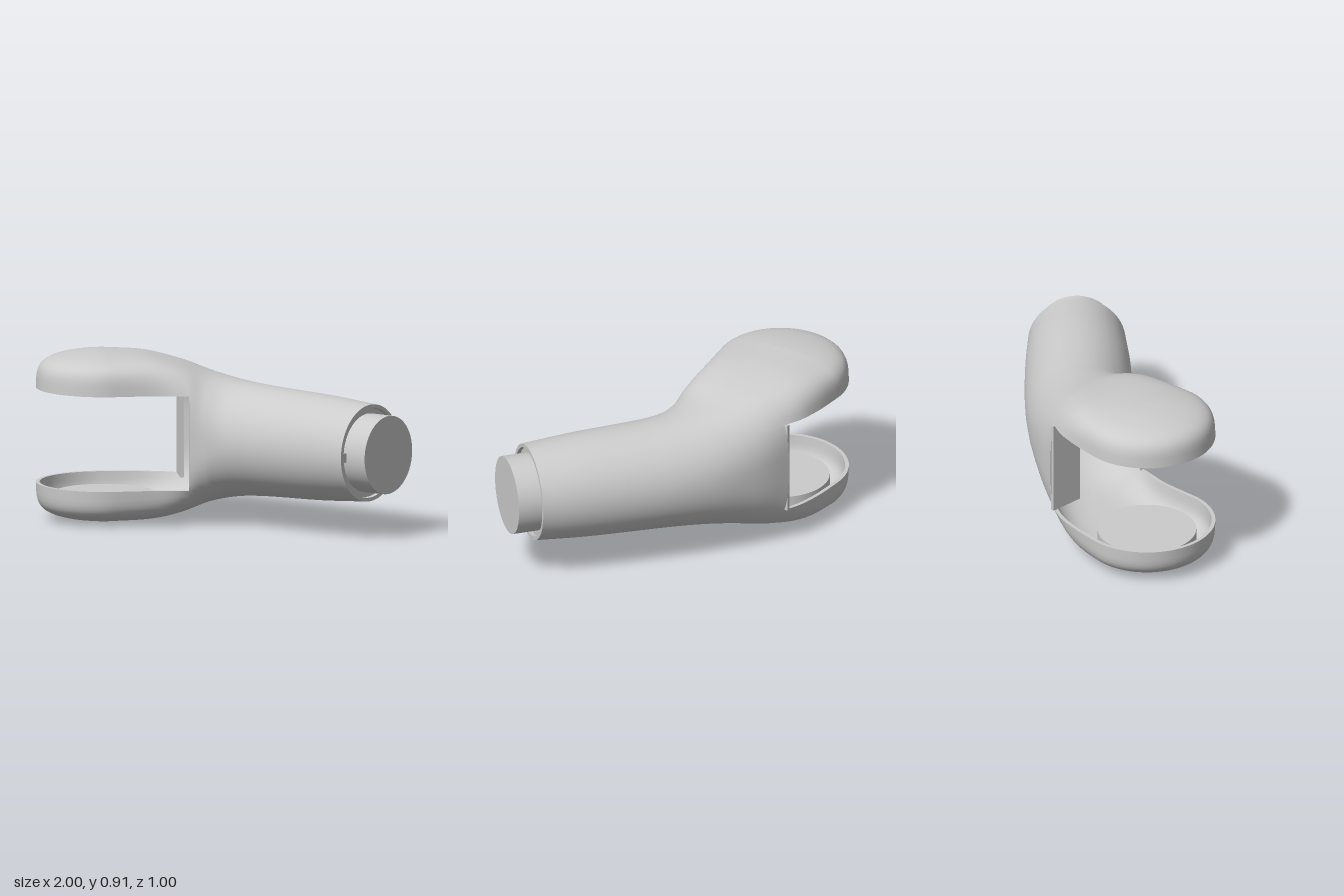
import * as THREE from 'three';
import { mergeVertices } from 'three/addons/utils/BufferGeometryUtils.js';

const MID = 0.455;        // height of the symmetry plane
const GAP = 0.255;        // half height of the fork opening
const WALL = 0.02;
const PIVOT = { x: -0.635, z: 0.132, r: 0.365, n: 9 };
const CAP_ROWS = 24, SIDE_ROWS = 16, STEPS = 8;

// Stations along the arm: spine x,z | back edge x,z | front edge x,z | half height | section exponent
const STATIONS = [
  [0.88, -0.21, 0.88, -0.47, 0.88, 0.05, 0.26, 2],
  [0.6, -0.21, 0.6, -0.49, 0.6, 0.07, 0.28, 2],
  [0.2, -0.21, 0.18, -0.5, 0.22, 0.08, 0.295, 2],
  [0.04, -0.205, -0.06, -0.488, 0.11, 0.093, 0.308, 2.1],
  [-0.12, -0.175, -0.3, -0.45, 0.02, 0.114, 0.338, 2.5],
  [-0.29, -0.115, -0.52, -0.378, -0.06, 0.142, 0.392, 3.5],
  [-0.46, -0.005, -0.7, -0.277, -0.21, 0.225, 0.436, 6],
  [PIVOT.x, PIVOT.z, -0.87, -0.147, -0.39, 0.402, 0.455, PIVOT.n],
];
const CUT = 5 * STEPS;    // rib where the fork opening starts

const material = () => new THREE.MeshStandardMaterial({ color: 0xcccccc, side: THREE.DoubleSide });

// Ribs run down the back edge, around the rounded end and up the front edge
function makeRibs() {
  const curve = (a, b, c) => new THREE.CatmullRomCurve3(
    STATIONS.map(s => new THREE.Vector3(s[a], s[b], s[c])));
  const spine = curve(0, 1, 6), back = curve(2, 3, 7), front = curve(4, 5, 7);
  const n = (STATIONS.length - 1) * STEPS;
  const side = edge => Array.from({ length: n + 1 }, (_, k) => {
    const s = spine.getPoint(k / n), e = edge.getPoint(k / n);
    return { sx: s.x, sz: s.y, bx: e.x, bz: e.y, h: s.z, n: Math.max(e.z, 2) };
  });
  const ribs = side(back), frontRibs = side(front).reverse();
  const angle = e => Math.atan2(e.bz - PIVOT.z, e.bx - PIVOT.x);
  const a0 = angle(ribs[n]) + Math.PI * 2, a1 = angle(frontRibs[0]);
  for (let k = 1; k < 40; k++) {
    const a = a0 + (a1 - a0) * k / 40;
    ribs.push({
      sx: PIVOT.x, sz: PIVOT.z, h: 0.455, n: PIVOT.n,
      bx: PIVOT.x + PIVOT.r * Math.cos(a), bz: PIVOT.z + PIVOT.r * Math.sin(a),
    });
  }
  return ribs.concat(frontRibs);
}

// Points of one rib from top to bottom: a superellipse, domed where it is boxy
function ribPoints(rib, inset) {
  const h = rib.h - inset, p = 2 / rib.n;
  const dome = 0.27 * (rib.n - 2) / (PIVOT.n - 2);
  const len = Math.hypot(rib.bx - rib.sx, rib.bz - rib.sz);
  const k = (len - inset) / len;
  const edge = Math.min(GAP, h * 0.8);
  const edgeAngle = Math.asin(Math.pow(edge / h, 1 / p));
  const angles = [];
  for (let j = 0; j <= CAP_ROWS; j++)
    angles.push(Math.PI / 2 - (Math.PI / 2 - edgeAngle) * (j / CAP_ROWS) ** 2.5);
  for (let j = 1; j < SIDE_ROWS; j++) angles.push(edgeAngle * (1 - 2 * j / SIDE_ROWS));
  for (let j = CAP_ROWS; j >= 0; j--) angles.push(-angles[j]);
  return angles.map(a => {
    const c = Math.pow(Math.max(Math.cos(a), 0), p), s = Math.sin(a);
    const y = h * Math.pow(Math.abs(s), p);
    const drop = dome * c * c * Math.max(y - edge, 0);
    return [rib.sx + (rib.bx - rib.sx) * c * k,
      MID + Math.sign(s) * (y - drop),
      rib.sz + (rib.bz - rib.sz) * c * k];
  });
}

function quadMesh(name, quads) {
  const pos = [];
  for (const [a, b, c, d] of quads) pos.push(...a, ...b, ...c, ...a, ...c, ...d);
  let g = new THREE.BufferGeometry();
  g.setAttribute('position', new THREE.Float32BufferAttribute(pos, 3));
  g = mergeVertices(g, 1e-4);
  g.computeVertexNormals();
  return part(name, g);
}

function part(name, geometry, x = 0, y = 0, z = 0) {
  const m = new THREE.Mesh(geometry, material());
  m.name = name;
  m.position.set(x, y, z);
  return m;
}

export function createModel() {
  const group = new THREE.Group();
  group.name = 'forkedArmLink';

  const ribs = makeRibs();
  const last = ribs.length - 1;
  const outer = ribs.map(r => ribPoints(r, 0));
  const inner = ribs.map(r => ribPoints(r, WALL));
  const rows = outer[0].length - 1;
  const low = CAP_ROWS + SIDE_ROWS;
  const inFork = i => i >= CUT && i < last - CUT;
  const inSide = j => j >= CAP_ROWS && j < low;

  // Outer skin and lining, leaving out the side wall between the fork arms
  const skin = [], lining = [];
  for (let i = 0; i < last; i++) for (let j = 0; j < rows; j++) {
    if (inFork(i) && inSide(j)) continue;
    skin.push([outer[i][j], outer[i][j + 1], outer[i + 1][j + 1], outer[i + 1][j]]);
    lining.push([inner[i][j], inner[i + 1][j], inner[i + 1][j + 1], inner[i][j + 1]]);
  }
  group.add(quadMesh('armShell', skin), quadMesh('shellLining', lining));

  // Rims closing the wall thickness
  const armRims = [], openingRims = [], endRim = [];
  for (let i = CUT; i < last - CUT; i++) for (const j of [CAP_ROWS, low])
    armRims.push([outer[i][j], outer[i + 1][j], inner[i + 1][j], inner[i][j]]);
  for (let j = 0; j < rows; j++) {
    const strip = i => [outer[i][j], outer[i][j + 1], inner[i][j + 1], inner[i][j]];
    if (inSide(j)) openingRims.push(strip(CUT), strip(last - CUT));
    endRim.push(strip(0), strip(last));
  }
  group.add(quadMesh('forkRims', armRims), quadMesh('openingRims', openingRims),
    quadMesh('endRim', endRim));

  // Joint discs inside both fork arms
  for (const [name, s] of [['upperJointDisc', 1], ['lowerJointDisc', -1]])
    group.add(part(name, new THREE.CylinderGeometry(0.263, 0.263, 0.11, 64),
      PIVOT.x, MID + s * 0.365, PIVOT.z));

  // Upright plate along the back edge of the opening
  const plate = part('openingPlate', new THREE.BoxGeometry(0.195, 2 * GAP, 0.02), -0.455, MID, -0.298);
  plate.rotation.y = -Math.atan2(0.145, 0.135);
  group.add(plate);

  // Connector stub at the tube end, with the collar that fills the gap to the shell
  const stub = part('connectorStub', new THREE.CylinderGeometry(0.21, 0.21, 0.45, 64), 0.775, MID, -0.21);
  stub.rotation.z = Math.PI / 2;
  const collar = part('stubCollar', new THREE.RingGeometry(0.21, 0.238, 64), 0.86, MID, -0.21);
  collar.rotation.y = Math.PI / 2;
  group.add(stub, collar);

  // Locating key between stub and shell
  group.add(part('locatingKey', new THREE.BoxGeometry(0.1, 0.05, 0.04), 0.83, MID, 0.02));
  return group;
}
